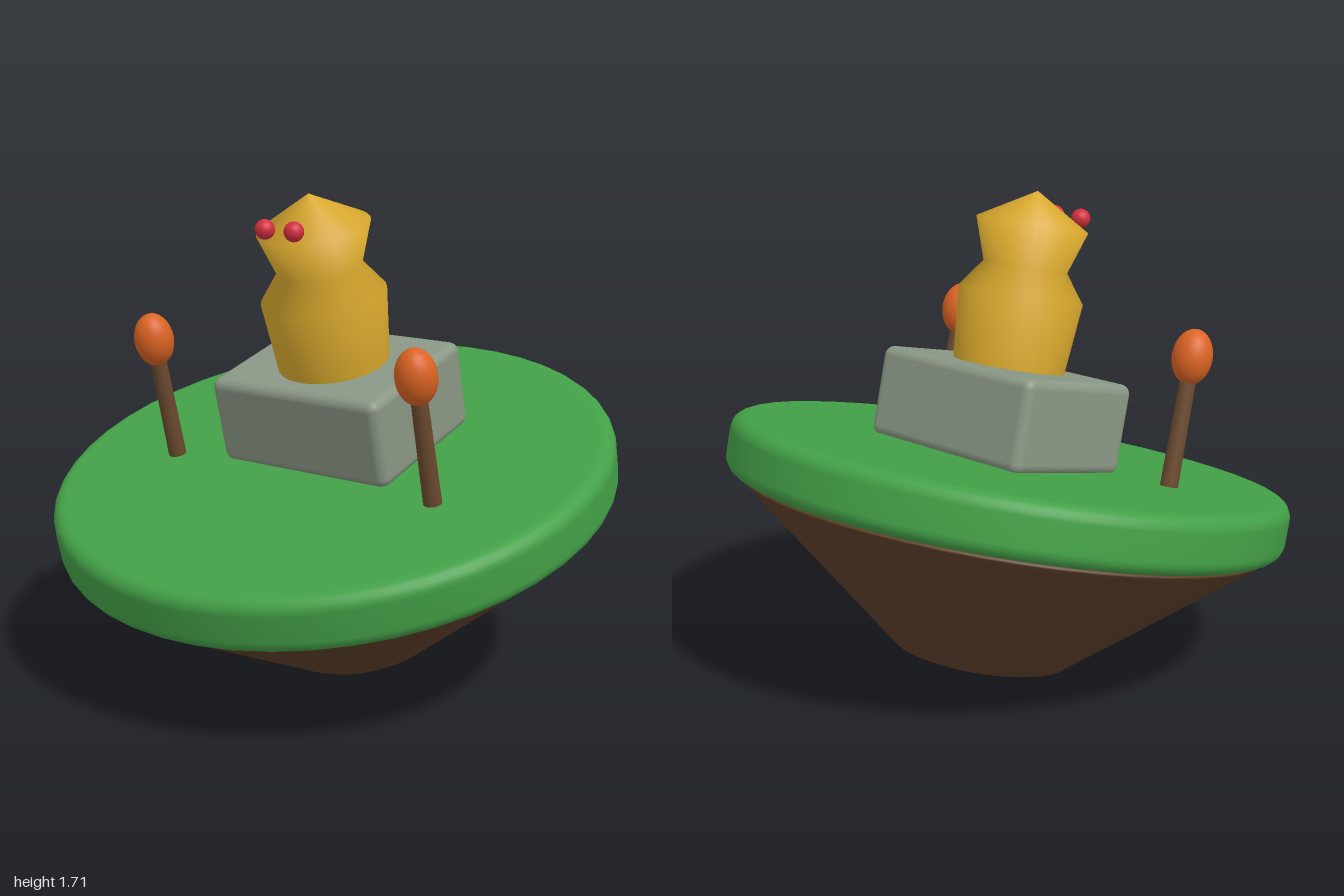
import * as THREE from 'three';
import { RoundedBoxGeometry } from 'three/addons/geometries/RoundedBoxGeometry.js';

const mat = (name, color, opts = {}) => new THREE.MeshStandardMaterial({ name, color, ...opts });

function lathe(points, segments) {
  return new THREE.LatheGeometry(points.map(([r, y]) => new THREE.Vector2(r, y)), segments);
}

export function createModel() {
  const grass = mat('grass green', 0x43a047);
  const earth = mat('earth brown', 0x5d4029);
  const stone = mat('stone grey', 0x8a9785);
  const gold = mat('gold', 0xd9a92e, { side: THREE.DoubleSide });
  const wood = mat('wood brown', 0x6b4a2f);
  const flame = mat('flame orange', 0xdb6322);
  const red = mat('eye red', 0xd32f3f);

  const model = new THREE.Group();
  model.name = 'tiltedIsland';

  // Everything stands upright on an island that leans forward
  const island = new THREE.Group();
  island.name = 'island';
  island.rotation.x = THREE.MathUtils.degToRad(14);
  island.position.set(0, 0.041, -0.165);
  model.add(island);

  const add = (name, geometry, material, x = 0, y = 0, z = 0) => {
    const mesh = new THREE.Mesh(geometry, material);
    mesh.name = name;
    mesh.position.set(x, y, z);
    island.add(mesh);
    return mesh;
  };

  // Earth: a truncated cone with softened edges
  add('earthCone', lathe([
    [0, 0.035], [0.28, 0.035], [0.30, 0.036], [0.318, 0.042], [0.33, 0.052],
    [0.345, 0.065], [0.93, 0.552], [0.947, 0.567], [0.948, 0.573], [0.94, 0.58], [0, 0.582],
  ], 48), earth);

  // Grass: a disc with a rounded rim
  const bevel = 0.05, bottom = 0.58, top = 0.775, rim = [];
  for (const [cy, start] of [[bottom + bevel, -Math.PI / 2], [top - bevel, 0]]) {
    for (let i = 0; i <= 5; i++) {
      const a = start + (i / 5) * Math.PI / 2;
      rim.push([1 - bevel + bevel * Math.cos(a), cy + bevel * Math.sin(a)]);
    }
  }
  add('grassDisc', lathe(
    [[0, bottom], [0.94, bottom], ...rim, [0.94, top], [0, top]], 48), grass);

  // Stone pedestal
  add('pedestal', new RoundedBoxGeometry(0.7, 0.32, 0.56, 4, 0.035), stone, 0, 0.926, -0.104);

  // Idol: one turned figure with shoulders, neck and pointed head
  add('idol', lathe([
    [0.196, 1.075], [0.22, 1.335], [0.148, 1.434], [0.197, 1.582], [0, 1.698],
  ], 32), gold, 0, 0, -0.1);

  for (const [side, s] of [['left', 1], ['right', -1]]) {
    add(side + 'Eye', new THREE.SphereGeometry(0.034, 20, 14), red, s * 0.06, 1.631, 0.082);
    // Torch: slightly tapered post with an egg-shaped flame
    add(side + 'TorchPost', new THREE.CylinderGeometry(0.028, 0.032, 0.42, 16), wood, s * 0.55, 0.975, 0.199);
    add(side + 'TorchFlame', new THREE.SphereGeometry(0.07, 24, 16), flame, s * 0.55, 1.227, 0.199)
      .scale.set(1, 1.38, 1);
  }

  return model;
}
